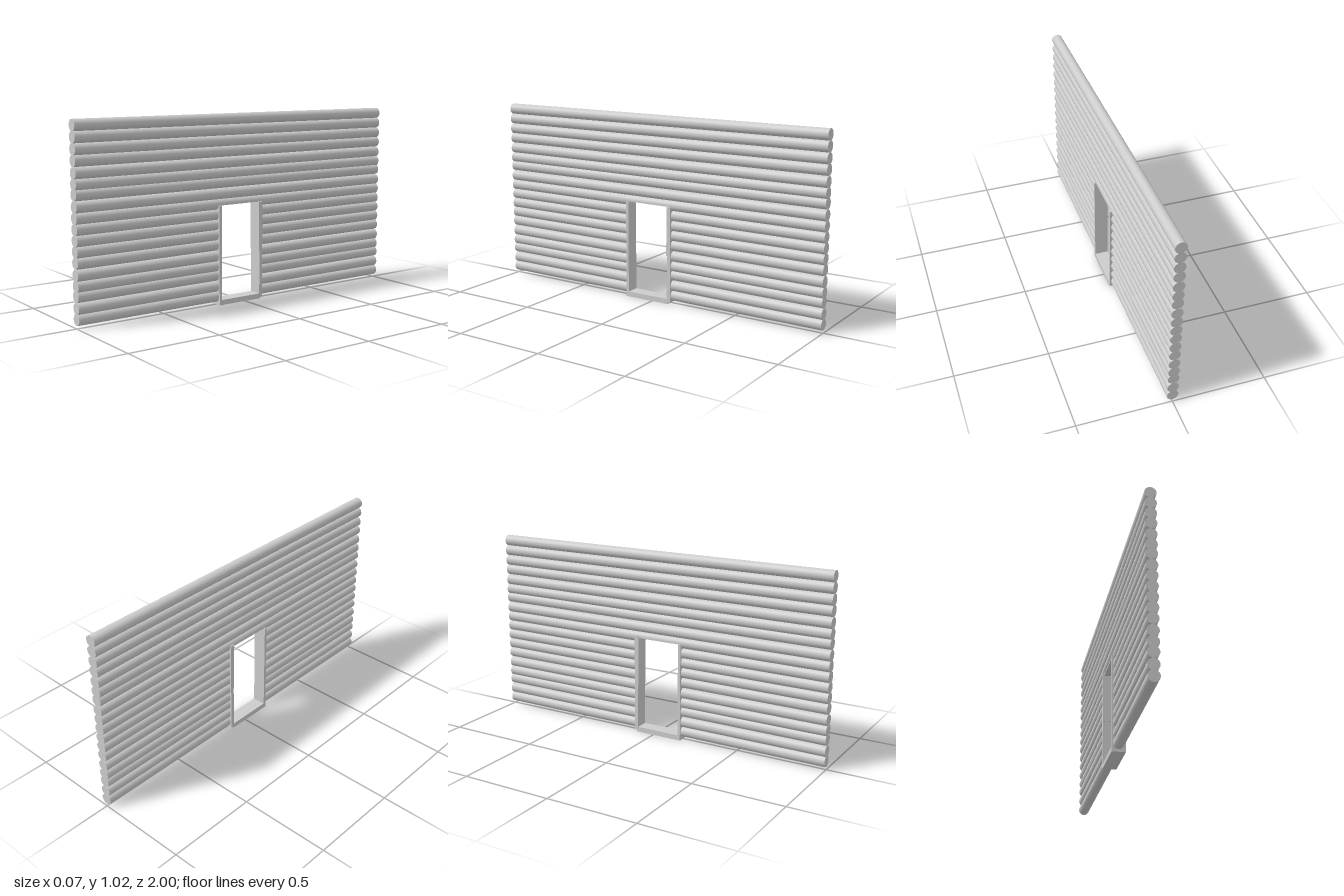
import * as THREE from 'three';

export function createModel() {
  const model = new THREE.Group();
  const material = new THREE.MeshStandardMaterial({ color: 0xcccccc });
  const R = 0.03;
  const TOP = 0.54; // top of the doorway

  const add = (name, geometry, parent = model) => {
    const mesh = new THREE.Mesh(geometry, material);
    mesh.name = name;
    parent.add(mesh);
    return mesh;
  };

  // Log lying along z between two ends; half = only its upper half
  const logs = new THREE.Group();
  logs.name = 'logWall';
  model.add(logs);
  const addLog = (name, y, z0, z1, half = false) => {
    const g = new THREE.CylinderGeometry(R, R, z1 - z0, half ? 16 : 32, 1, false,
      half ? Math.PI / 2 : 0, half ? Math.PI : Math.PI * 2);
    g.rotateX(Math.PI / 2);
    add(name, g, logs).position.set(0, y, (z0 + z1) / 2);
  };

  // Stacked logs, slightly uneven, interrupted by the doorway
  const heights = [0.045, 0.1, 0.16, 0.21, 0.265, 0.325, 0.38, 0.435, 0.49,
    0.545, 0.6, 0.66, 0.71, 0.765, 0.825, 0.88, 0.938, 0.995];
  for (const y of heights) {
    if (y - R > TOP) {
      addLog('log', y, -1, 1);
    } else {
      addLog('frontLog', y, 0.16, 1);
      addLog('backLog', y, -1, -0.105);
      if (y > TOP) addLog('notchedLog', y, -0.105, 0.16, true);
    }
  }

  // Door frame, a little wider than the logs
  const frame = new THREE.Group();
  frame.name = 'doorFrame';
  model.add(frame);
  const W = 0.037;
  const addBox = (name, y0, y1, z0, z1, w = W) =>
    add(name, new THREE.BoxGeometry(2 * w, y1 - y0, z1 - z0), frame)
      .position.set(0, (y0 + y1) / 2, (z0 + z1) / 2);
  const addProfile = (name, points, depth) => {
    const shape = new THREE.Shape(points.map(([x, y]) => new THREE.Vector2(x, y)));
    const g = new THREE.ExtrudeGeometry(shape, { depth, bevelEnabled: false });
    return add(name, g.translate(0, 0, -depth / 2), frame);
  };

  addBox('frontJamb', 0, TOP, 0.155, 0.17);
  addBox('lintel', TOP, TOP + 0.006, -0.105, 0.16, R);

  // Back jamb: lower piece and a slightly thicker upper piece with a sloping top
  addBox('backJambLower', 0.012, 0.27, -0.117, -0.097);
  addProfile('backJambUpper', [[-W, 0.27], [W, 0.27], [W, TOP], [-W, 0.555]], 0.024)
    .position.z = -0.105;

  // Sill with a chamfered back end; profile x runs along -z
  addProfile('sill', [[-0.17, 0], [0.1, 0], [0.115, 0.015], [0.115, 0.028], [-0.17, 0.028]], 2 * W)
    .rotation.y = Math.PI / 2;

  return model;
}
